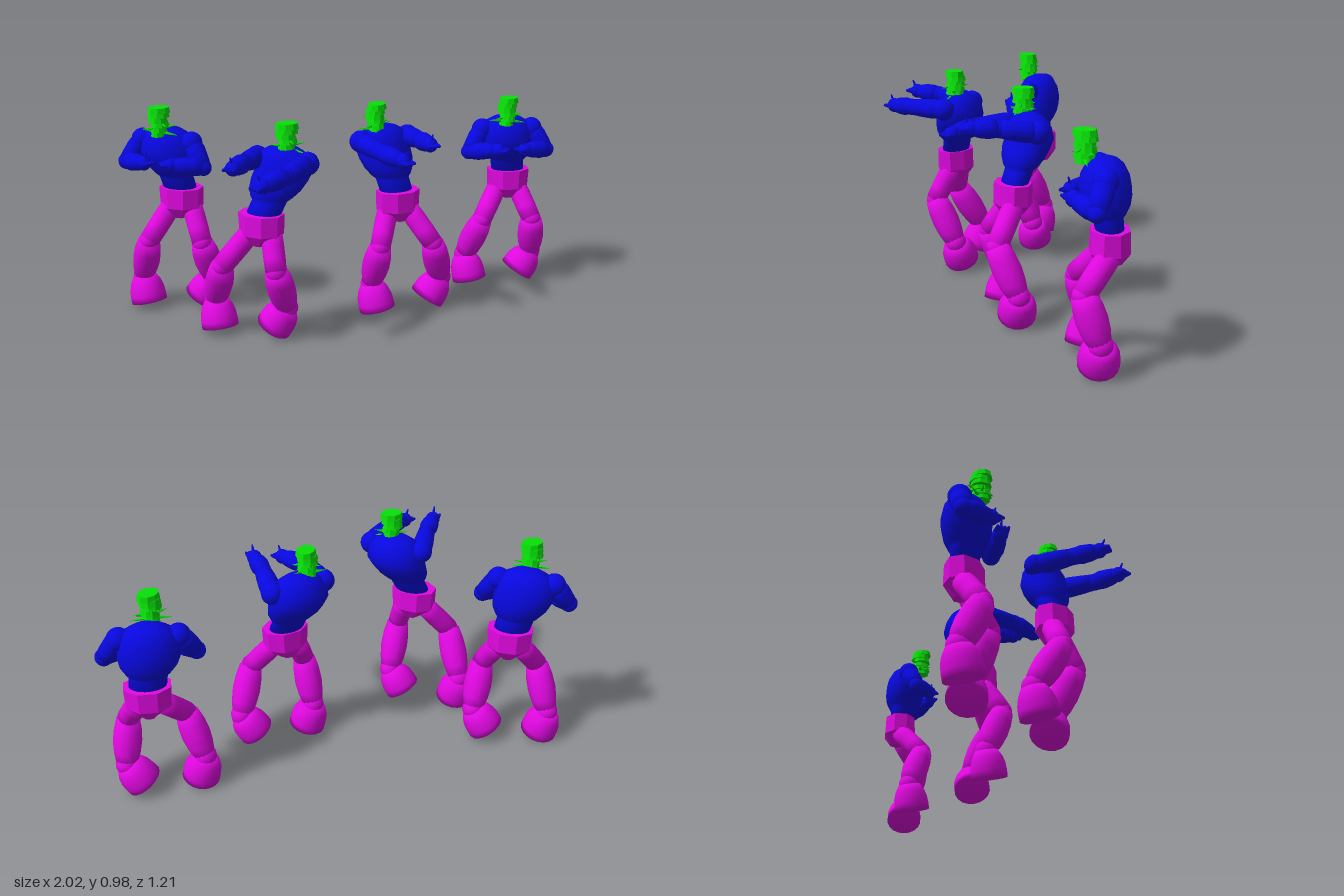
import * as THREE from 'three';

const material = (color, flatShading = false) => {
  const m = new THREE.MeshStandardMaterial({ color });
  m.flatShading = flatShading;
  return m;
};
const UP = new THREE.Vector3(0, 1, 0);

// Point at origin + (x, y, z) turned by yaw; +x is the dancer's left, +z is forward
const local = (origin, yaw, x, y, z) => new THREE.Vector3(x, y, z).applyAxisAngle(UP, yaw).add(origin);
const raise = (p, y) => local(p, 0, 0, y, 0);

// Surface through elliptical rings [centre, half width, half depth], turned by yaw
function loft(rings, sides, yaw) {
  const pos = [], idx = [];
  const n = rings.length;
  for (const [c, rx, rz] of rings) {
    for (let i = 0; i < sides; i++) {
      const a = (i + 0.5) / sides * Math.PI * 2;
      pos.push(...local(c, yaw, Math.sin(a) * rx, 0, Math.cos(a) * rz).toArray());
    }
  }
  pos.push(...rings[0][0].toArray(), ...rings[n - 1][0].toArray());
  for (let i = 0; i < sides; i++) {
    const j = (i + 1) % sides;
    for (let r = 0; r < n - 1; r++) {
      const a = r * sides + i, b = r * sides + j;
      idx.push(a, b, a + sides, b, b + sides, a + sides);
    }
    idx.push(n * sides, j, i, n * sides + 1, (n - 1) * sides + i, (n - 1) * sides + j);
  }
  const g = new THREE.BufferGeometry();
  g.setAttribute('position', new THREE.Float32BufferAttribute(pos, 3));
  g.setIndex(idx);
  g.computeVertexNormals();
  return g;
}

function add(group, name, geometry, mat) {
  const mesh = new THREE.Mesh(geometry, mat);
  mesh.name = name;
  group.add(mesh);
  return mesh;
}

// Turned limb from a to b; radii are spread evenly along its length
function limb(group, name, a, b, radii, mat, sides = 14) {
  const len = a.distanceTo(b), last = radii.length - 1;
  const pts = [new THREE.Vector2(0, 0),
    ...radii.map((r, i) => new THREE.Vector2(r, len * i / last)), new THREE.Vector2(0, len)];
  const mesh = add(group, name, new THREE.LatheGeometry(pts, sides), mat);
  mesh.position.copy(a);
  mesh.quaternion.setFromUnitVectors(UP, b.clone().sub(a).normalize());
}

function ball(group, name, p, r, mat) {
  add(group, name, new THREE.SphereGeometry(r, 14, 10), mat).position.copy(p);
}

// Arm poses as elbow and hand offsets from the chest, for a left arm
const folded = { elbow: [0.188, -0.055, 0.045], hand: [0.065, -0.035, 0.12] };
const reachLow = { elbow: [0.116, 0.04, 0.195], hand: [0.075, 0.028, 0.32] };
const reachHigh = { elbow: [0.088, 0.068, 0.175], hand: [0.075, 0.075, 0.29] };

// feet: point on the ground between the ankles; neck: x and z offset from the chest
const dancers = [
  { chest: [-0.79, 0.77, -0.09], yaw: -0.25, pelvis: [-0.74, 0.54, -0.1],
    feet: [-0.77, 0, -0.095], hipYaw: -0.09, neck: [-0.025, 0.055], arms: [folded, folded] },
  { chest: [-0.24, 0.775, 0.22], yaw: -0.4, pelvis: [-0.335, 0.54, 0.26],
    feet: [-0.395, 0, 0.205], hipYaw: -0.27, neck: [0.017, 0.017], arms: [reachLow, reachHigh] },
  { chest: [0.18, 0.775, -0.15], yaw: 0.5, pelvis: [0.25, 0.54, -0.09],
    feet: [0.295, 0, -0.095], hipYaw: 0.25, neck: [-0.035, 0.03], arms: [reachHigh, reachLow] },
  { chest: [0.77, 0.738, -0.5], yaw: 0.15, pelvis: [0.79, 0.52, -0.525],
    feet: [0.7525, 0, -0.475], hipYaw: 0.15, neck: [-0.005, 0.075], arms: [folded, folded] },
];

function makeDancer({ chest, yaw, pelvis, feet, hipYaw, neck, arms }) {
  const g = new THREE.Group();
  g.name = 'dancer';
  const blue = material(0x0808e0), pink = material(0xe008e0);
  const pinkFlat = material(0xe008e0, true), green = material(0x08e008, true);
  const C = new THREE.Vector3(...chest), P = new THREE.Vector3(...pelvis);
  const F = new THREE.Vector3(...feet);

  // Angular hips narrowing to the crotch
  add(g, 'hips', loft([[raise(P, -0.085), 0.035, 0.05], [raise(P, -0.035), 0.1, 0.082],
    [raise(P, 0.055), 0.105, 0.078]], 8, yaw), pinkFlat);

  // Straight waist under a barrel chest
  const W = raise(P, 0.03);
  const at = (t) => W.clone().lerp(C, t);
  add(g, 'torso', loft([[W, 0.078, 0.055], [at(0.38), 0.08, 0.057], [at(0.46), 0.096, 0.07],
    [at(0.62), 0.117, 0.088], [at(0.82), 0.128, 0.098], [C, 0.131, 0.1], [raise(C, 0.045), 0.125, 0.091],
    [raise(C, 0.08), 0.1, 0.073], [raise(C, 0.1), 0.065, 0.05], [raise(C, 0.11), 0.03, 0.025]], 20, yaw), blue);

  ['left', 'right'].forEach((side, k) => {
    const s = k ? -1 : 1;

    // Leg with the knee pushed forward and a flared boot; the left boot leans inward
    const hip = local(P, hipYaw, s * 0.045, -0.03, 0);
    const ankle = local(F, hipYaw, s * 0.167, 0.153, s * -0.005);
    const knee = local(hip.clone().lerp(ankle, 0.5), hipYaw, s * 0.018, 0.025, 0.085);
    const sole = k ? local(ankle, hipYaw, 0.025, -0.122, 0.02) : local(ankle, hipYaw, -0.063, -0.098, 0);
    limb(g, side + 'Thigh', hip, knee, [0.046, 0.048, 0.048, 0.046], pink);
    ball(g, side + 'Knee', knee, 0.045, pink);
    limb(g, side + 'Shin', knee, ankle, [0.05, 0.06, 0.063, 0.057, 0.044], pink);
    ball(g, side + 'Ankle', ankle, 0.05, pink);
    limb(g, side + 'Boot', ankle, sole, [0.052, 0.07, 0.08, 0.083, 0.083], pink, 18);

    // Arm
    const joint = ([x, y, z]) => local(C, yaw, s * x, y, z);
    const shoulder = joint([0.12, 0.045, 0.01]);
    const elbow = joint(arms[k].elbow), hand = joint(arms[k].hand);
    ball(g, side + 'Shoulder', shoulder, 0.05, blue);
    limb(g, side + 'UpperArm', shoulder, elbow, [0.042, 0.046, 0.042, 0.036], blue);
    ball(g, side + 'Elbow', elbow, 0.038, blue);
    limb(g, side + 'Forearm', elbow, hand, [0.036, 0.042, 0.038, 0.028], blue);
    ball(g, side + 'Hand', hand, 0.033, blue);

    // Fingers and a raised thumb
    const dir = hand.clone().sub(elbow).normalize();
    const across = new THREE.Vector3().crossVectors(dir, UP).normalize();
    for (let i = -1.5; i <= 1.5; i++) {
      const start = hand.clone().addScaledVector(across, i * 0.012);
      const tip = start.clone().addScaledVector(dir, 0.05).addScaledVector(across, i * 0.003);
      limb(g, side + 'Finger', start, tip, [0.012, 0.011, 0.006], blue, 6);
    }
    limb(g, side + 'Thumb', hand, raise(hand, 0.05).addScaledVector(dir, 0.025), [0.011, 0.003], blue, 6);
  });

  // Head of ragged stacked collars, opening out towards the top
  const base = local(C, 0, neck[0], 0.08, neck[1]);
  for (let i = 0; i < 6; i++) {
    const rx = 0.027 + i * 0.004, h = i * 0.0215;
    const low = local(base, yaw, 0.004 * ((i % 3) - 1), h, 0.003 * ((i % 2) * 2 - 1));
    add(g, 'headCollar', loft([[low, rx + 0.006, 0.044], [raise(low, 0.024), rx, 0.039]],
      9, yaw + i * 0.15), green);
  }

  // Thin spikes around the head
  for (let i = 0; i < 8; i++) {
    const a = i * 2.4;
    const from = raise(base, 0.02 + (i % 4) * 0.015);
    const tip = local(from, yaw, Math.cos(a) * 0.085, 0.012 * ((i % 3) - 1), Math.sin(a) * 0.05);
    limb(g, 'headSpike', from, tip, [0.012, 0.001], green, 5);
  }
  return g;
}

export function createModel() {
  const model = new THREE.Group();
  model.name = 'dancers';
  dancers.forEach((d) => model.add(makeDancer(d)));
  return model;
}
